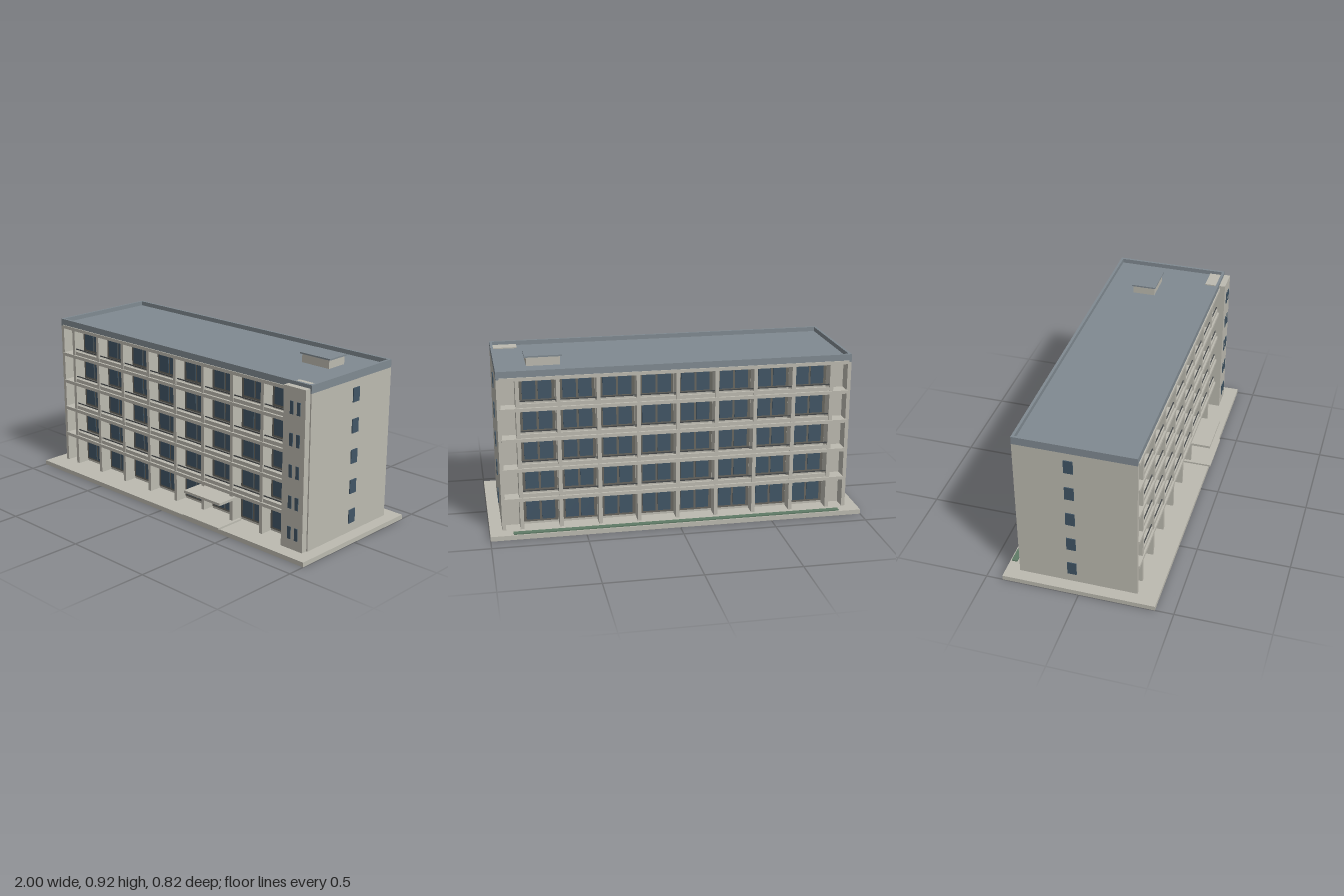
import * as THREE from 'three';

const mat = (name, color) => {
  const m = new THREE.MeshStandardMaterial({ color });
  m.name = name;
  return m;
};

export function createModel() {
  const concrete = mat('concrete', 0xbcbab0);
  const slate = mat('slate roof', 0x808a91);
  const glass = mat('blue glass', 0x415565);
  const frame = mat('window frame', 0x68665f);
  const metal = mat('dark railing', 0x45484a);
  const green = mat('hedge green', 0x5f7b66);

  const model = new THREE.Group();
  model.name = 'apartmentBlock';

  // Box given by its limits on each axis
  const box = (name, m, x0, x1, y0, y1, z0, z1, parent = model) => {
    const mesh = new THREE.Mesh(new THREE.BoxGeometry(x1 - x0, y1 - y0, Math.abs(z1 - z0)), m);
    mesh.position.set((x0 + x1) / 2, (y0 + y1) / 2, (z0 + z1) / 2);
    mesh.name = name;
    parent.add(mesh);
    return mesh;
  };

  const W = 0.935, FRONT = 0.293, BACK = -0.338;
  const FLOORS = 5, STEP = 0.163, GROUND = 0.025, BAY = 0.2075, DEPTH = 0.07;

  // Ground slab, entrance apron and planting strip
  box('groundSlab', concrete, -1, 1, 0, GROUND, -0.412, 0.402);
  box('entranceApron', concrete, 0.18, 0.44, GROUND, 0.035, 0.24, 0.413);
  box('hedge', green, -0.88, 0.88, GROUND, 0.031, -0.405, -0.375);

  // Core and end walls
  box('core', concrete, -0.92, 0.92, GROUND, 0.843, BACK + DEPTH, FRONT - DEPTH);
  for (const s of [-1, 1]) {
    const a = s * W, b = s * (W - 0.02);
    box('endWall', concrete, Math.min(a, b), Math.max(a, b), GROUND, 0.843, BACK, FRONT);
  }

  // One balcony facade; s = 1 faces the front, s = -1 the back
  function facade(s) {
    const g = new THREE.Group();
    g.name = s > 0 ? 'frontFacade' : 'backFacade';
    model.add(g);
    const edge = s > 0 ? FRONT : BACK;
    const wall = edge - s * DEPTH;

    for (let i = -4; i <= 4; i++)
      box('fin', concrete, i * BAY - 0.01, i * BAY + 0.01, GROUND, 0.843, wall, edge, g);

    for (let k = 0; k < FLOORS; k++) {
      const floor = k ? 0.037 + k * STEP : GROUND;
      const top = 0.018 + (k + 1) * STEP;
      box('floorSlab', concrete, -0.92, 0.92, top, top + 0.018, wall, edge + s * 0.006, g);

      for (let i = -4; i < 4; i++) {
        const cx = (i + 0.5) * BAY;
        const y0 = floor + 0.014, y1 = top - 0.013;
        // Glazed wall with two large panes
        box('windowFrame', frame, cx - 0.092, cx + 0.092, y0, y1, wall, wall + s * 0.005, g);
        for (const d of [-1, 1]) {
          const px = cx + d * 0.041;
          box('windowPane', glass, px - 0.035, px + 0.035, y0 + 0.012, y1 - 0.008,
            wall + s * 0.005, wall + s * 0.009, g);
        }
        // Low kerb and railing
        if (k) {
          box('balconyKerb', concrete, cx - 0.094, cx + 0.094, floor, floor + 0.02,
            edge - s * 0.016, edge - s * 0.004, g);
          box('balconyRail', metal, cx - 0.094, cx + 0.094, floor + 0.031, floor + 0.036,
            edge - s * 0.013, edge - s * 0.008, g);
        }
      }
    }
  }
  facade(1);
  facade(-1);

  // Stair tower with paired narrow windows
  box('stairTower', concrete, 0.79, 0.928, GROUND, 0.867, 0.21, 0.327);
  for (let k = 0; k < FLOORS; k++) {
    const y = 0.079 + k * STEP;
    for (const x of [0.844, 0.888])
      box('towerWindow', glass, x - 0.01, x + 0.01, y, y + 0.066, 0.327, 0.331);
    // Single window per floor on each end wall
    for (const s of [-1, 1]) {
      const a = s * W, b = s * (W + 0.005);
      box('endWindow', glass, Math.min(a, b), Math.max(a, b), y - 0.004, y + 0.07, -0.077, -0.028);
    }
  }

  // Roof deck and parapet
  const P = 0.014;
  box('roofDeck', slate, -W + P, W - P, 0.843, 0.861, BACK + P, FRONT - P);
  box('frontParapet', slate, -W, W, 0.843, 0.885, FRONT - P, FRONT);
  box('backParapet', slate, -W, W, 0.843, 0.885, BACK, BACK + P);
  box('leftParapet', slate, W - P, W, 0.843, 0.885, BACK + P, FRONT - P);
  box('rightParapet', slate, -W, -W + P, 0.843, 0.885, BACK + P, FRONT - P);

  // Roof access hatch
  box('hatchBody', concrete, 0.592, 0.768, 0.861, 0.907, -0.165, -0.043);
  box('hatchCap', slate, 0.582, 0.778, 0.907, 0.915, -0.172, -0.036);

  // Entrance canopy
  box('entranceCanopy', concrete, 0.18, 0.44, 0.156, 0.17, 0.24, 0.405);

  return model;
}
